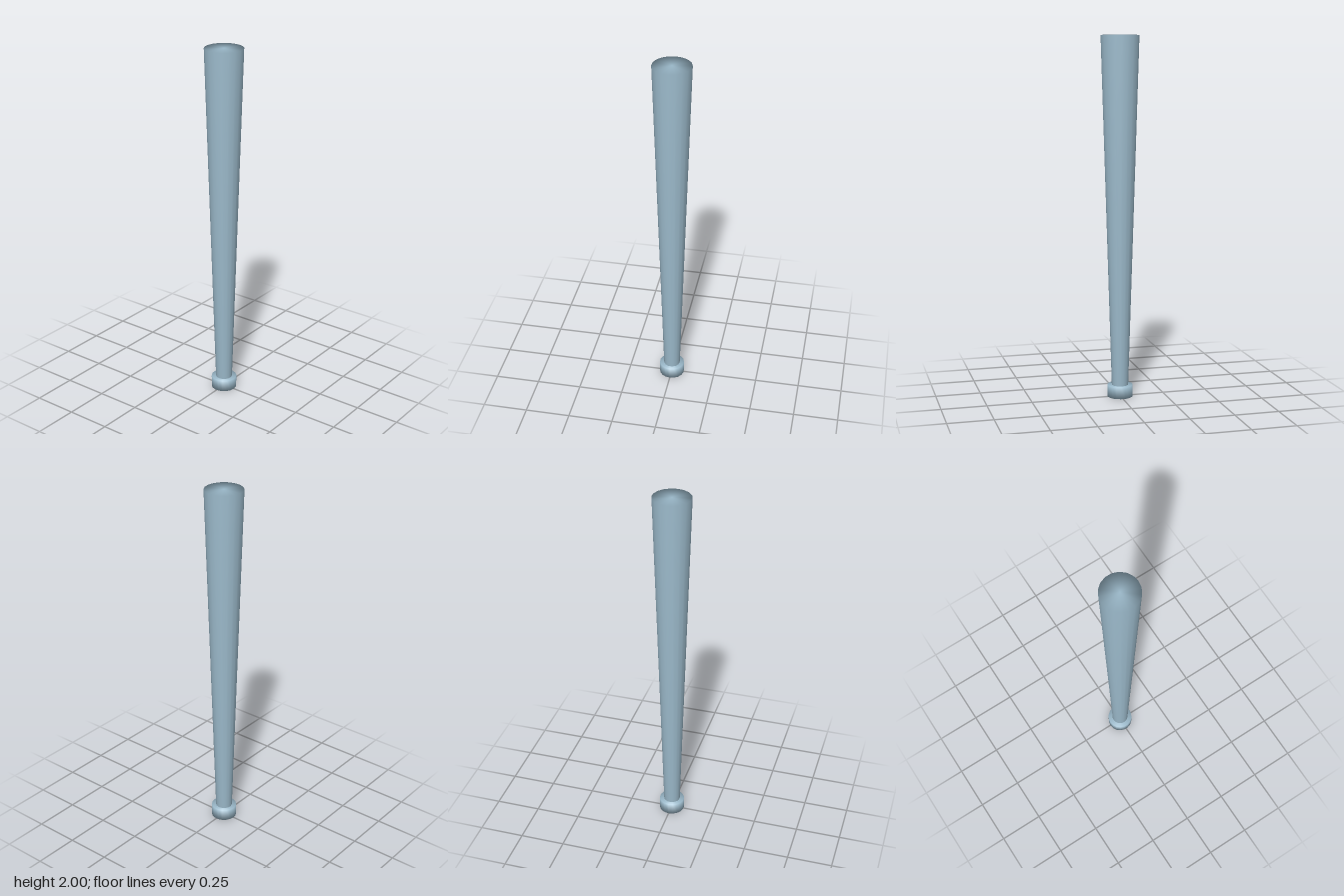
import * as THREE from 'three';

const SIDES = 18;

// Closed tapered cylinder whose normals run smoothly over its rims
function taperedRod(name, y0, r0, y1, r1, material) {
  const profile = [[0, y0], [r0, y0], [r1, y1], [0, y1]].map(([r, y]) => new THREE.Vector2(r, y));
  const mesh = new THREE.Mesh(new THREE.LatheGeometry(profile, SIDES, Math.PI / 2), material);
  mesh.name = name;
  return mesh;
}

export function createModel() {
  const model = new THREE.Group();
  model.name = 'bat';

  const paint = new THREE.MeshStandardMaterial({ color: 0x9bb9ca });
  paint.name = 'pale blue';

  // Long barrel, widening upward from the knob
  model.add(taperedRod('barrel', 0.03, 0.045, 2, 0.105, paint));
  // Short knob at the end of the handle
  model.add(taperedRod('knob', 0, 0.071, 0.066, 0.071, paint));

  return model;
}
